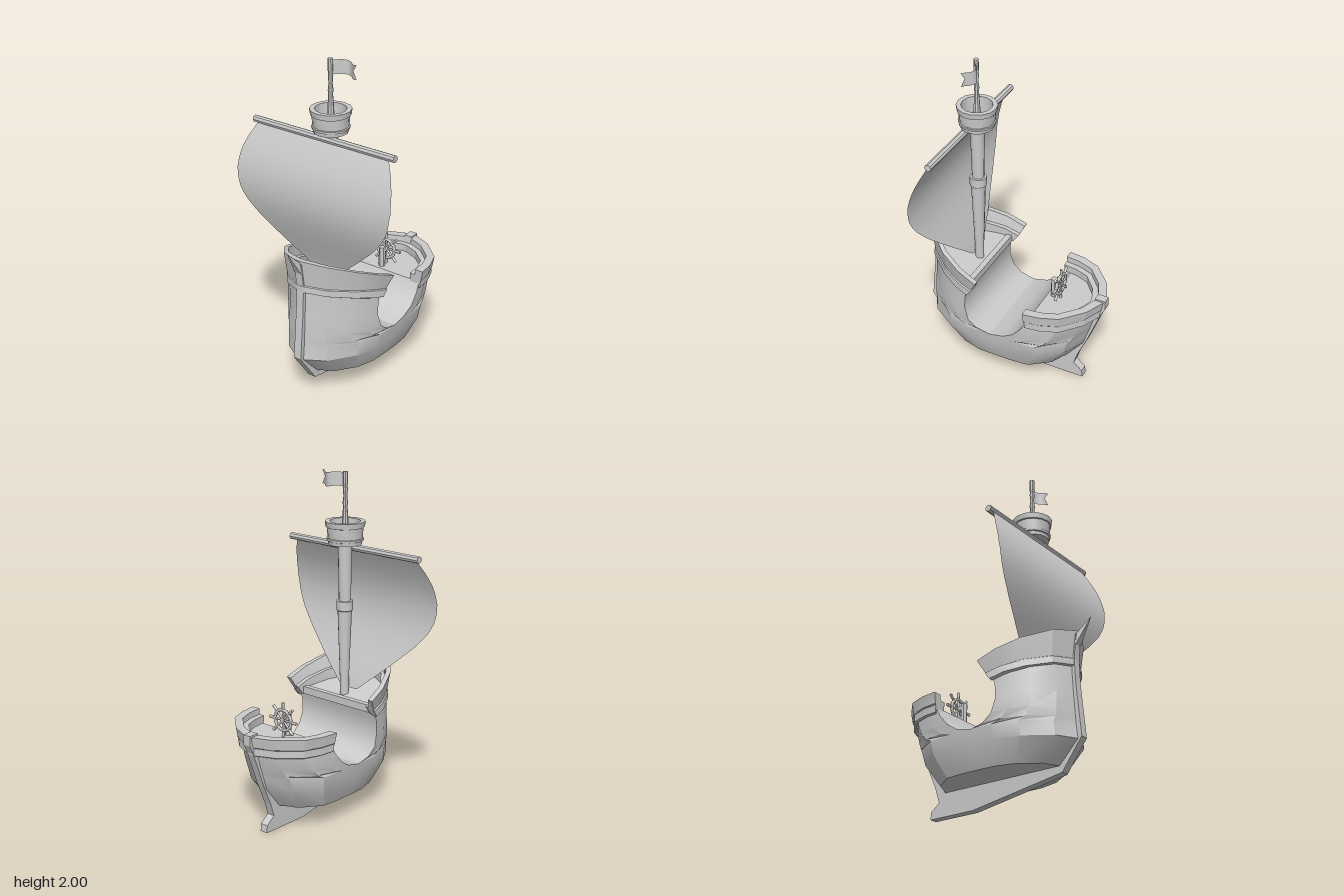
import * as THREE from 'three';
import { toCreasedNormals } from 'three/addons/utils/BufferGeometryUtils.js';

const grey = new THREE.MeshStandardMaterial({ color: 0xcccccc });
const grey2 = new THREE.MeshStandardMaterial({ color: 0xcccccc, side: THREE.DoubleSide });
const V = (x, y, z) => new THREE.Vector3(x, y, z);
const { lerp, clamp } = THREE.MathUtils;

// Piecewise linear lookup through [key, value] pairs
function curve(pairs, k) {
  if (k <= pairs[0][0]) return pairs[0][1];
  for (let i = 1; i < pairs.length; i++) {
    const [a, va] = pairs[i - 1], [b, vb] = pairs[i];
    if (k <= b) return lerp(va, vb, (k - a) / (b - a));
  }
  return pairs[pairs.length - 1][1];
}

function add(parent, name, geometry, material = grey) {
  const mesh = new THREE.Mesh(geometry, material);
  mesh.name = name;
  parent.add(mesh);
  return mesh;
}

// Collects triangles and quads into a geometry, skipping collapsed ones
class Faces {
  constructor(flip) { this.flip = flip; this.pos = []; }
  tri(a, b, c, rev = false) {
    if (b.clone().sub(a).cross(c.clone().sub(a)).length() < 1e-9) return;
    for (const p of (this.flip !== rev ? [a, c, b] : [a, b, c])) this.pos.push(p.x, p.y, p.z);
  }
  quad(a, b, c, d, rev) { this.tri(a, b, c, rev); this.tri(a, c, d, rev); }
  build(crease) {
    const g = new THREE.BufferGeometry();
    g.setAttribute('position', new THREE.Float32BufferAttribute(this.pos, 3));
    g.computeVertexNormals();
    return toCreasedNormals(g, crease);
  }
}

// Ends of the hull: z of the tip by height, and plan shape from waist (0) to tip (1)
const COLS = [0, 0.27, 0.56, 0.86, 1];
const WIDTH = [[0.14, 0.23], [0.27, 0.285], [0.42, 0.305], [0.7, 0.3]];
const BOW = {
  stern: false, tip: [[0.14, 0.4], [0.27, 0.52], [0.45, 0.5], [0.62, 0.49]],
  plan: [[0, 1], [0.23, 1], [0.47, 0.93], [0.7, 0.73], [0.9, 0.43], [1, 0.06]],
};
const STERN = {
  stern: true, tip: [[0.14, -0.39], [0.27, -0.49], [0.45, -0.545], [0.57, -0.575]],
  plan: [[0, 1], [0.38, 1], [0.574, 0.955], [0.74, 0.83], [0.913, 0.46], [1, 0.06]],
};
const halfWidth = (part, y, s) => curve(WIDTH, y) * curve(part.plan, s);

// One end of the hull: rows are [height, z of the waist cut-out]
function hullEnd(parent, name, part, rows, slope) {
  const f = new Faces(part.stern), waist = new Faces(part.stern);
  const n = rows.length - 1, top = rows[n][0];
  const grid = [1, -1].map(side => rows.map(([y, cut]) => COLS.map(c => {
    const end = curve(part.tip, y), z = lerp(cut, end, c);
    const lift = Math.max(0, (y - 0.36) / (top - 0.36)) * slope * (z - cut);
    return V(side * halfWidth(part, y, z / end), y + lift, z);
  })));
  const [L, R] = grid;
  for (let k = 0; k < COLS.length - 1; k++) {
    for (let j = 0; j < n; j++) {
      grid.forEach((g, s) => f.quad(g[j][k], g[j + 1][k], g[j + 1][k + 1], g[j][k + 1], s === 1));
    }
    f.quad(R[0][k], L[0][k], L[0][k + 1], R[0][k + 1]);
    f.quad(R[n][k], L[n][k], L[n][k + 1], R[n][k + 1], true);
  }
  // Curved wall of the waist, starting above the two hidden rows
  for (let j = 2; j < n; j++) waist.quad(R[j][0], L[j][0], L[j + 1][0], R[j + 1][0], true);
  add(parent, name, f.build(0.42));
  add(parent, name + 'Waist', waist.build(0.7));
}

// Horseshoe bulwark: section(z) gives [outward offset, height] points
function bulwark(part, section, end, edge) {
  const f = new Faces(part.stern);
  const path = COLS.map(c => [c, 1]).concat(COLS.map(c => [c, -1]).reverse());
  const rings = path.map(([c, side]) => section(lerp(edge(0.65), end, c)).map(([o, y]) => {
    const z = lerp(edge(y), end, c);
    return V(side * halfWidth(part, 0.6, z / end) * (1 + o / 0.3), y, z * (1 + c * o / 0.55));
  }));
  const m = rings[0].length;
  for (let i = 0; i < rings.length - 1; i++) {
    for (let j = 0; j < m; j++) {
      const q = (j + 1) % m;
      f.quad(rings[i][j], rings[i][q], rings[i + 1][q], rings[i + 1][j]);
    }
  }
  [rings[0], rings[rings.length - 1]].forEach((r, e) => {
    for (let j = 1; j < m - 1; j++) f.tri(r[0], r[j], r[j + 1], e === 0);
  });
  return f.build(0.3);
}

function lathe(points, sides) {
  const g = new THREE.LatheGeometry(points.map(p => new THREE.Vector2(...p)), sides);
  return toCreasedNormals(g, 0.6);
}

export function createModel() {
  const model = new THREE.Group();
  model.name = 'sailingShip';
  const ship = new THREE.Group();
  ship.name = 'hull';
  ship.position.x = 0.012;
  model.add(ship);

  // Hull
  hullEnd(ship, 'bowHull', BOW, [[0.14, 0], [0.27, 0], [0.355, 0], [0.375, 0.085], [0.42, 0.14],
    [0.5, 0.165], [0.58, 0.16], [0.65, 0.14]], 0.22);
  hullEnd(ship, 'sternHull', STERN, [[0.14, 0], [0.27, 0], [0.355, 0], [0.375, -0.09], [0.42, -0.16],
    [0.48, -0.21], [0.54, -0.24]], 0);

  // Bulwarks
  const bowSection = z => {
    const band = 0.655 + 0.24 * (z - 0.13), top = 0.71 + 0.47 * (z - 0.07), deck = 0.63 + 0.22 * (z - 0.14);
    return [[0, band - 0.045], [0.018, band - 0.038], [0.018, band], [0.01, band + 0.004], [0.035, top],
      [0.002, top], [-0.012, lerp(deck, top, 0.5)], [-0.035, lerp(deck, top, 0.48)], [-0.035, deck]];
  };
  add(ship, 'bowBulwark', bulwark(BOW, bowSection, 0.49, y => 0.07 + Math.max(0, 0.71 - y) * 0.7));
  const sternSection = () => [[0, 0.5], [0.012, 0.507], [0.012, 0.55], [0.018, 0.556], [0.03, 0.62],
    [-0.022, 0.62], [-0.024, 0.585], [-0.06, 0.585], [-0.06, 0.53]];
  add(ship, 'sternBulwark', bulwark(STERN, sternSection, -0.575, y => -0.23 - Math.max(0, 0.58 - y) * 0.1));
  add(ship, 'deckBeam', new THREE.BoxGeometry(0.55, 0.045, 0.035)).position.set(0, 0.645, 0.155);

  // Keel with stem and stern post
  const outline = [[0.52, 0.89], [0.505, 0.74], [0.51, 0.6], [0.54, 0.28], [0.41, 0.1], [-0.19, 0], [-0.49, 0],
    [-0.485, 0.045], [-0.43, 0.09], [-0.455, 0.17], [-0.51, 0.3], [-0.59, 0.52], [-0.615, 0.57], [-0.615, 0.63],
    [-0.55, 0.63], [-0.53, 0.5], [-0.36, 0.2], [0.36, 0.2], [0.47, 0.3], [0.47, 0.87]];
  const keel = new THREE.ExtrudeGeometry(new THREE.Shape(outline.map(p => new THREE.Vector2(...p))),
    { depth: 0.05, bevelEnabled: false });
  keel.translate(0, 0, -0.025).rotateY(-Math.PI / 2);
  add(ship, 'keel', keel);
  const spikeShape = new THREE.ConeGeometry(0.035, 0.18, 4).rotateY(Math.PI / 4);
  const spike = add(ship, 'bowSpike', toCreasedNormals(spikeShape, 0.3));
  spike.position.set(0, 0.91, 0.553);
  spike.rotation.x = 0.666;

  // Steering wheel on its post
  const wheel = new THREE.Group();
  wheel.name = 'steeringWheel';
  wheel.position.set(0, 0.64, -0.32);
  ship.add(wheel);
  add(wheel, 'wheelRim', new THREE.TorusGeometry(0.062, 0.01, 6, 16));
  const hub = add(wheel, 'wheelHub', new THREE.CylinderGeometry(0.016, 0.016, 0.06, 8));
  hub.rotation.x = Math.PI / 2;
  hub.position.z = 0.02;
  for (let i = 0; i < 8; i++) {
    const a = i * Math.PI / 4;
    const spoke = add(wheel, 'wheelSpoke', new THREE.CylinderGeometry(0.009, 0.006, 0.1, 6));
    spoke.position.set(-Math.sin(a) * 0.055, Math.cos(a) * 0.055, 0);
    spoke.rotation.z = a;
  }
  add(ship, 'wheelPost', toCreasedNormals(new THREE.CylinderGeometry(0.02, 0.02, 0.14, 6), 0.5))
    .position.set(0, 0.595, -0.278);

  // Mast, lookout and flag pole
  const mast = new THREE.Group();
  mast.name = 'mastAssembly';
  mast.position.set(0.015, 0, 0.217);
  model.add(mast);
  add(mast, 'mast', lathe([[0, 0.6], [0.026, 0.6], [0.028, 0.77], [0.043, 1.18], [0.05, 1.185], [0.05, 1.24],
    [0.036, 1.24], [0.043, 1.6], [0, 1.6]], 12));
  add(mast, 'lookout', lathe([[0, 1.58], [0.098, 1.58], [0.1, 1.6], [0.107, 1.602], [0.109, 1.616], [0.102, 1.618],
    [0.106, 1.68], [0.114, 1.682], [0.118, 1.715], [0.09, 1.715], [0.088, 1.615], [0, 1.615]], 14));
  add(mast, 'flagPole', lathe([[0, 1.6], [0.024, 1.6], [0.018, 1.72], [0.013, 1.8], [0.016, 1.82], [0.011, 1.86],
    [0.015, 1.9], [0.012, 1.92], [0.015, 1.93], [0.015, 2], [0, 2]], 8));

  // Waving flag with a forked end
  const flag = new THREE.PlaneGeometry(0.165, 0.082, 12, 2);
  const fp = flag.attributes.position;
  for (let i = 0; i < fp.count; i++) {
    const t = fp.getX(i) / 0.165 + 0.5, y = fp.getY(i);
    const fork = Math.abs(y) < 0.001 ? 0.17 * Math.max(0, t - 0.7) / 0.3 : 0;
    fp.setXYZ(i, 0.01 + (t - fork) * 0.165, y + 1.952 + 0.005 * Math.sin(t * 7),
      -0.025 + 0.024 * Math.cos((t - fork) * 6.5));
  }
  flag.computeVertexNormals();
  add(mast, 'flag', flag, grey2);

  // Yard
  const yard = add(model, 'yard', toCreasedNormals(new THREE.CylinderGeometry(0.021, 0.021, 0.975, 8), 0.5));
  yard.rotation.z = Math.PI / 2;
  yard.position.set(-0.003, 1.552, 0.267);

  // Billowing sail: width and depth follow the height
  const sailWidth = [[0.7, 0.06], [0.845, 0.23], [1, 0.4], [1.1, 0.485], [1.18, 0.524], [1.28, 0.538],
    [1.38, 0.527], [1.46, 0.499], [1.55, 0.45]];
  const sail = new THREE.PlaneGeometry(2, 0.85, 8, 22);
  const sp = sail.attributes.position;
  for (let i = 0; i < sp.count; i++) {
    const y = sp.getY(i) + 1.125, t = clamp((y - 0.7) / 0.85, 0, 1);
    sp.setXYZ(i, sp.getX(i) * curve(sailWidth, y) - 0.003, y,
      lerp(0.24, 0.275, t) + 0.122 * Math.sin(Math.PI * Math.pow(t, 1.25)));
  }
  sail.computeVertexNormals();
  add(model, 'sail', sail, grey2);

  return model;
}
